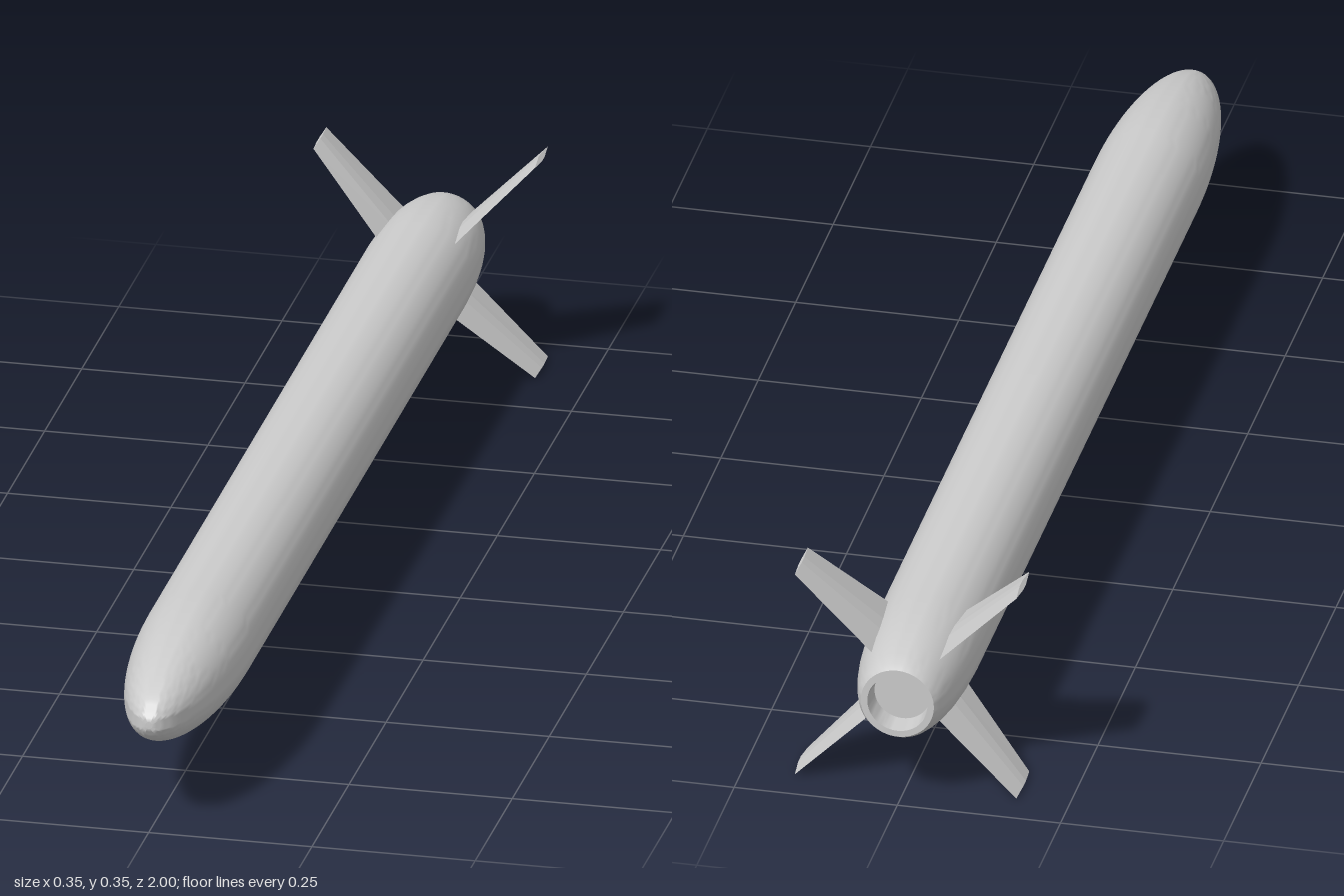
import * as THREE from 'three';
import { toCreasedNormals } from 'three/addons/utils/BufferGeometryUtils.js';

const AXIS_Y = 0.174;
const RADIUS = 0.085;

const material = new THREE.MeshStandardMaterial({ color: 0xcccccc });

// Surface of revolution along z from [radius, z] pairs, running tail to nose
function turned(name, profile) {
  const points = profile.map(([r, z]) => new THREE.Vector2(r, z));
  const geometry = new THREE.LatheGeometry(points, 64).rotateX(Math.PI / 2);
  const mesh = new THREE.Mesh(toCreasedNormals(geometry, 0.6), material);
  mesh.name = name;
  return mesh;
}

// Tapered fin with a diamond section, pointing along +x
function finGeometry() {
  const sections = [
    { r: 0.055, front: -0.788, back: -0.945, half: 0.0065 },
    { r: 0.24, front: -0.858, back: -0.945, half: 0.004 },
  ];
  const loops = sections.map(({ r, front, back, half }) => {
    const at = (t) => front + (back - front) * t;
    return [
      [r, 0, front],
      [r, half, at(0.4)], [r, half, at(0.6)],
      [r, 0, back],
      [r, -half, at(0.6)], [r, -half, at(0.4)],
    ];
  });
  const positions = [];
  const tri = (a, b, c) => positions.push(...a, ...b, ...c);
  const [root, tip] = loops;
  const n = root.length;
  for (let i = 0; i < n; i++) {
    const j = (i + 1) % n;
    tri(root[i], tip[i], tip[j]);
    tri(root[i], tip[j], root[j]);
  }
  // End caps
  for (let i = 1; i < n - 1; i++) {
    tri(tip[0], tip[i + 1], tip[i]);
    tri(root[0], root[i], root[i + 1]);
  }
  const geometry = new THREE.BufferGeometry();
  geometry.setAttribute('position', new THREE.Float32BufferAttribute(positions, 3));
  geometry.computeVertexNormals();
  return geometry;
}

export function createModel() {
  const model = new THREE.Group();
  model.name = 'missile';
  const body = new THREE.Group();
  body.name = 'body';
  body.position.y = AXIS_Y;
  model.add(body);

  // Rounded tail narrowing to the nozzle rim
  const hull = [
    [0.056, -1], [0.062, -0.99], [0.068, -0.97], [0.074, -0.943],
    [0.079, -0.91], [0.083, -0.865], [RADIUS, -0.81],
  ];
  // Straight tube, then an elliptical nose
  const noseStart = 0.66;
  const steps = 24;
  for (let i = 0; i <= steps; i++) {
    const a = (i / steps) * Math.PI / 2;
    hull.push([i === steps ? 0 : RADIUS * Math.cos(a), noseStart + (1 - noseStart) * Math.sin(a)]);
  }
  body.add(turned('hull', hull));

  // Recessed exhaust opening
  body.add(turned('nozzle', [[0, -0.965], [0.043, -0.965], [0.046, -1], [0.056, -1]]));

  // Four fins in an X
  const fin = finGeometry();
  for (let i = 0; i < 4; i++) {
    const mesh = new THREE.Mesh(fin, material);
    mesh.name = `tailFin${i + 1}`;
    mesh.rotation.z = Math.PI / 4 + (i * Math.PI) / 2;
    body.add(mesh);
  }
  return model;
}
